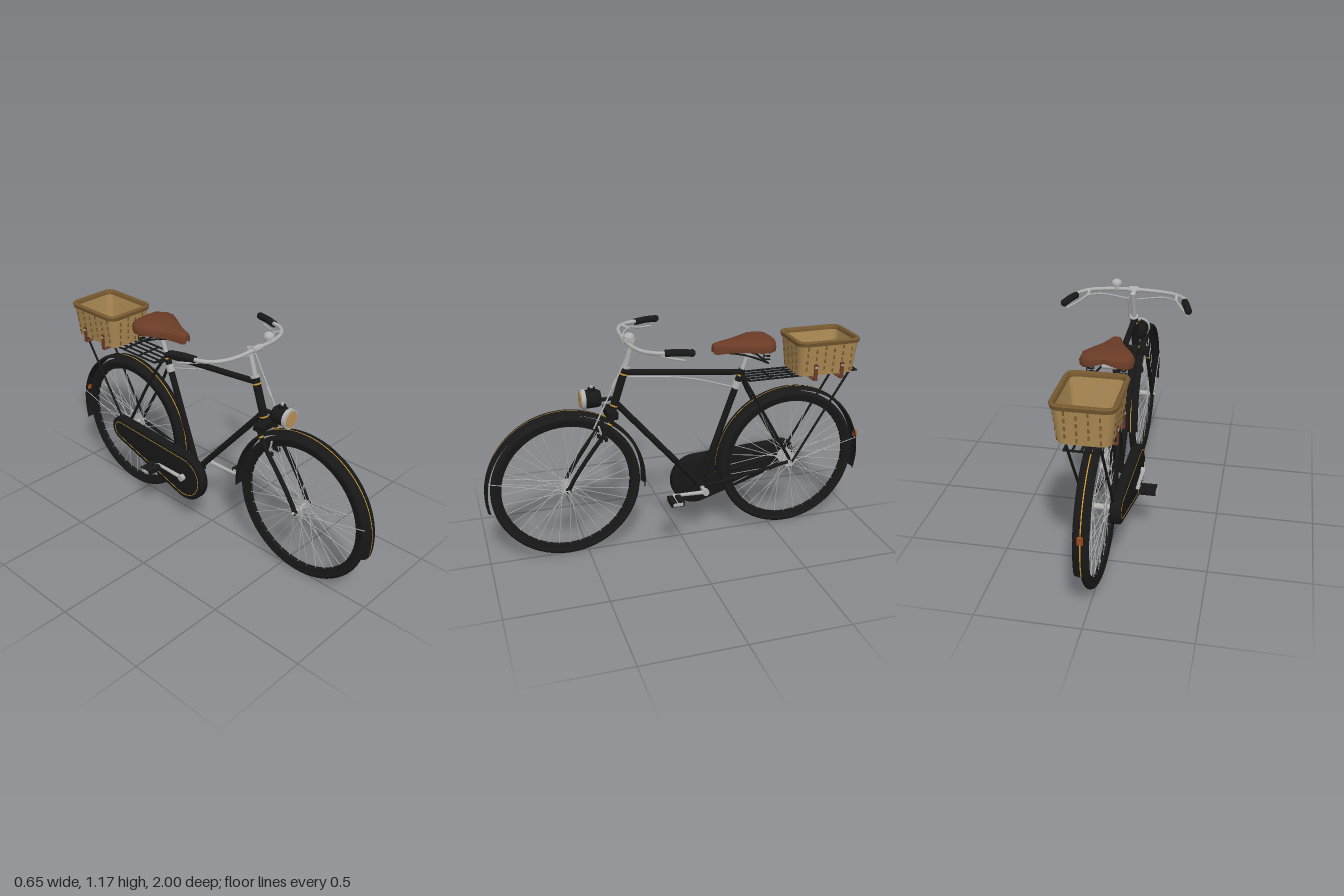
import * as THREE from 'three';
import { mergeGeometries, toCreasedNormals } from 'three/addons/utils/BufferGeometryUtils.js';

const mat = (name, color, side = THREE.FrontSide) => new THREE.MeshStandardMaterial({ name, color, side });
const V = (x, y, z) => new THREE.Vector3(x, y, z);
const AXLE = 0.38, WHEEL_Z = 0.595;

// Cylinder between two points
function rodGeo(a, b, r, r2 = r, seg = 10) {
  const d = b.clone().sub(a);
  const g = new THREE.CylinderGeometry(r2, r, d.length(), seg);
  g.applyQuaternion(new THREE.Quaternion().setFromUnitVectors(V(0, 1, 0), d.normalize()));
  const m = a.clone().add(b).multiplyScalar(0.5);
  return g.translate(m.x, m.y, m.z);
}
const tubeGeo = (pts, r, n = 24, seg = 8) => new THREE.TubeGeometry(new THREE.CatmullRomCurve3(pts), n, r, seg);
const boxGeo = (w, h, d, x, y, z) => new THREE.BoxGeometry(w, h, d).translate(x, y, z);

// Skin over rings of points, with fans closing both ends if capped
function loft(rings, crease, capped = true) {
  const n = rings[0].length, last = rings.length - 1, pos = [], idx = [];
  rings.forEach((r) => r.forEach((p) => pos.push(p.x, p.y, p.z)));
  for (let i = 0; i < last; i++) for (let j = 0; j < n; j++) {
    const a = i * n + j, b = i * n + (j + 1) % n;
    idx.push(a, b, b + n, a, b + n, a + n);
  }
  if (capped) [0, last].forEach((i) => {
    const c = rings[i].reduce((s, p) => s.add(p), V(0, 0, 0)).divideScalar(n), k = pos.length / 3;
    pos.push(c.x, c.y, c.z);
    for (let j = 0; j < n; j++) {
      const a = i * n + j, b = i * n + (j + 1) % n;
      if (i) idx.push(k, a, b); else idx.push(k, b, a);
    }
  });
  const g = new THREE.BufferGeometry();
  g.setAttribute('position', new THREE.Float32BufferAttribute(pos, 3));
  g.setIndex(idx);
  return toCreasedNormals(g, crease);
}

export function createModel() {
  const paint = mat('black paint', 0x171717, THREE.DoubleSide), rubber = mat('rubber', 0x191919, THREE.DoubleSide);
  const steel = mat('steel', 0xb0b0b0, THREE.DoubleSide), gold = mat('gold line', 0xc8952c, THREE.DoubleSide);
  const leather = mat('leather', 0x6b3c26, THREE.DoubleSide), wicker = mat('wicker', 0xac8a54, THREE.DoubleSide);
  const darkWicker = mat('dark wicker', 0x755830), lens = mat('lamp lens', 0xb89058), red = mat('reflector', 0x9a4a1c);

  const model = new THREE.Group();
  let parent = model;
  const add = (name, geo, m) => {
    const mesh = new THREE.Mesh(geo, m);
    mesh.name = name;
    parent.add(mesh);
  };
  const group = (name, z = 0, y = 0) => {
    parent = new THREE.Group();
    parent.name = name;
    parent.position.set(0, y, z);
    model.add(parent);
  };
  const rod = (name, a, b, r, m, r2) => add(name, rodGeo(a, b, r, r2), m);
  const both = (fn) => [-1, 1].forEach(fn);

  // Wheels and mudguards, all turned about the x axis
  const turned = (pts, from = 0, len = 360, n = 64) => new THREE.LatheGeometry(pts.map(([r, h]) => new THREE.Vector2(r, h)), n,
    from * Math.PI / 180, len * Math.PI / 180).rotateZ(Math.PI / 2);
  const wheel = (name, z, hubR, from, to, stayA) => {
    group(name, z, AXLE);
    add('tyre', new THREE.TorusGeometry(0.359, 0.018, 10, 72).rotateY(Math.PI / 2), rubber);
    add('rim', toCreasedNormals(turned([[0.35, -0.016], [0.35, 0.016], [0.324, 0.011], [0.324, -0.011], [0.35, -0.016]]), 0.5), paint);
    const spokes = [];
    for (let i = 0; i < 36; i++) {
      const a = i / 36 * Math.PI * 2, s = i % 2 ? 1 : -1, b = a + (i % 4 < 2 ? 0.6 : -0.6);
      spokes.push(rodGeo(V(s * 0.032, hubR * 0.85 * Math.sin(b), hubR * 0.85 * Math.cos(b)),
        V(0, 0.326 * Math.sin(a), 0.326 * Math.cos(a)), 0.0019, 0.0019, 5));
    }
    add('spokes', mergeGeometries(spokes), steel);
    rod('hub', V(-0.045, 0, 0), V(0.045, 0, 0), 0.015, steel);
    rod('axle', V(-0.072, 0, 0), V(0.072, 0, 0), 0.007, steel);
    both((s) => rod('hubFlange', V(s * 0.028, 0, 0), V(s * 0.035, 0, 0), hubR, steel));
    add('mudguard', turned([[0.391, -0.037], [0.399, -0.031], [0.404, -0.016], [0.405, 0], [0.404, 0.016], [0.399, 0.031], [0.391, 0.037]], from, to - from), paint);
    add('mudguardLine', turned([[0.4062, -0.0026], [0.4062, 0.0026]], from, to - from), gold);
    const t = stayA * Math.PI / 180;
    both((s) => rod('mudguardStay', V(s * 0.062, 0, 0), V(s * 0.037, 0.394 * Math.sin(t), 0.394 * Math.cos(t)), 0.002, steel));
  };
  wheel('frontWheel', WHEEL_Z, 0.028, -12, 186, 12);
  wheel('rearWheel', -WHEEL_Z, 0.042, -5, 195, 168);
  add('rearReflector', boxGeo(0.025, 0.035, 0.012, 0, 0.09, -0.398), red);

  // Frame
  group('frame');
  const bb = V(0, 0.29, -0.105), seatTop = V(0, 0.905, -0.325), headTop = V(0, 0.975, 0.28), headLow = V(0, 0.76, 0.35);
  const collar = (name, a, b, t, r, m = gold, w = 0.004) => {
    const d = b.clone().sub(a).normalize().multiplyScalar(w), p = a.clone().lerp(b, t);
    rod(name, p.clone().sub(d), p.clone().add(d), r, m);
  };
  rod('headTube', headLow, headTop, 0.02, paint);
  rod('topTube', V(0, 0.95, 0.285), V(0, 0.89, -0.32), 0.015, paint);
  rod('downTube', V(0, 0.80, 0.335), bb, 0.016, paint);
  rod('seatTube', bb, seatTop, 0.017, paint);
  rod('bottomBracket', V(-0.04, 0.29, -0.105), V(0.04, 0.29, -0.105), 0.024, paint);
  [0.12, 0.85].forEach((t) => collar('headBand', headLow, headTop, t, 0.0212));
  collar('seatTubeBand', bb, seatTop, 0.95, 0.0182);
  collar('headCup', headLow, headTop, 1, 0.023, steel);
  collar('seatTubeClip', bb, seatTop, 0.87, 0.022, steel, 0.02);
  both((s) => {
    add('seatStay', tubeGeo([V(s * 0.018, 0.88, -0.318), V(s * 0.05, 0.77, -0.375), V(s * 0.055, AXLE, -WHEEL_Z)], 0.008), paint);
    add('chainStay', tubeGeo([V(s * 0.025, 0.29, -0.11), V(s * 0.045, 0.315, -0.24), V(s * 0.052, AXLE, -WHEEL_Z)], 0.009), paint);
    rod('rearDropout', V(s * 0.05, AXLE, -WHEEL_Z), V(s * 0.062, AXLE, -WHEEL_Z), 0.018, steel);
  });
  add('rearBrakeRod', tubeGeo([V(0.015, 0.93, 0.27), V(0.018, 0.895, -0.02), V(0.02, 0.82, -0.28)], 0.004), steel);

  // Fork and front brake
  group('fork');
  add('forkCrown', boxGeo(0.135, 0.034, 0.05, 0, 0.752, 0.36), paint);
  both((s) => {
    const leg = [[0.058, 0.75, 0.357], [0.058, 0.675, 0.397], [0.056, 0.56, 0.482], [0.053, 0.45, 0.557], [0.05, AXLE, WHEEL_Z]].map(([x, y, z]) => V(s * x, y, z));
    add('forkLeg', tubeGeo(leg, 0.011), paint);
    collar('forkBand', leg[0], leg[1], 0.5, 0.0125);
    rod('frontDropout', V(s * 0.045, AXLE, WHEEL_Z), V(s * 0.06, AXLE, WHEEL_Z), 0.014, paint);
    rod('brakeStirrup', V(s * 0.042, 0.70, 0.43), V(s * 0.03, 0.61, 0.405), 0.005, steel);
    add('brakeShoe', boxGeo(0.012, 0.02, 0.04, s * 0.026, 0.62, 0.405), rubber);
  });
  rod('frontBrakeRod', V(0.025, 1.09, 0.25), V(0.042, 0.69, 0.455), 0.004, steel);
  rod('brakeRodNut', V(0.029, 0.93, 0.332), V(0.032, 0.89, 0.352), 0.007, steel);

  // Handlebar, levers and bell
  group('handlebar');
  rod('stem', headTop, V(0, 1.115, 0.237), 0.013, steel);
  rod('stemExtension', V(0, 1.1, 0.238), V(0, 1.12, 0.285), 0.014, steel);
  rod('barClamp', V(-0.026, 1.12, 0.285), V(0.026, 1.12, 0.285), 0.017, steel);
  const bar = [[0.28, 0.15], [0.262, 0.205], [0.215, 0.252], [0.13, 0.28]];
  add('bar', tubeGeo([...bar.map(([x, z]) => V(-x, 1.118, z)), V(0, 1.12, 0.285), ...bar.reverse().map(([x, z]) => V(x, 1.118, z))], 0.01, 64), steel);
  both((s) => {
    add('grip', tubeGeo([V(s * 0.274, 1.117, 0.16), V(s * 0.29, 1.12, 0.1), V(s * 0.306, 1.117, 0.042)], 0.0175, 10, 10), rubber);
    add('gripEnd', new THREE.SphereGeometry(0.018, 12, 8).translate(s * 0.306, 1.117, 0.042), rubber);
    add('brakeLever', tubeGeo([V(s * 0.30, 1.082, 0.07), V(s * 0.262, 1.09, 0.14), V(s * 0.225, 1.107, 0.2)], 0.005), steel);
    add('leverRod', tubeGeo([V(s * 0.225, 1.107, 0.2), V(s * 0.16, 1.102, 0.245), V(s * 0.02, 1.08, 0.255)], 0.004), steel);
    rod('leverBracket', V(s * 0.222, 1.12, 0.245), V(s * 0.225, 1.1, 0.2), 0.008, steel);
  });
  rod('bellPost', V(0.09, 1.12, 0.28), V(0.09, 1.15, 0.28), 0.01, steel);
  add('bell', new THREE.SphereGeometry(0.027, 16, 8, 0, Math.PI * 2, 0, Math.PI / 2).scale(1, 0.85, 1).translate(0.09, 1.15, 0.28), steel);
  rod('bellBase', V(0.09, 1.146, 0.28), V(0.09, 1.152, 0.28), 0.026, steel);

  // Headlamp
  group('headlamp', 0, 0.832);
  const bowl = [[0.001, 0.405], [0.036, 0.409], [0.044, 0.422], [0.046, 0.486]].map(([r, z]) => new THREE.Vector2(r, z));
  add('lampBody', new THREE.LatheGeometry(bowl, 24).rotateX(Math.PI / 2), paint);
  add('lampRing', rodGeo(V(0, 0, 0.485), V(0, 0, 0.506), 0.05, 0.05, 28), steel);
  add('lampLens', rodGeo(V(0, 0, 0.504), V(0, 0, 0.51), 0.04, 0.04, 28), lens);
  rod('lampCap', V(0, 0.04, 0.45), V(0, 0.056, 0.45), 0.018, paint);
  rod('lampKnob', V(0, 0.056, 0.45), V(0, 0.066, 0.45), 0.008, steel);
  rod('lampBracket', V(0, -0.01, 0.33), V(0, -0.01, 0.42), 0.01, paint);

  // Chain case with lining, cranks and pedals
  group('drivetrain');
  const caseShape = (inset, S = THREE.Shape) => {
    const r1 = 0.135 - inset, r2 = 0.072 - inset, dz = -0.49, dy = AXLE - 0.29;
    const f = Math.atan2(dy, dz), b = Math.acos((r1 - r2) / Math.hypot(dz, dy)), s = new S();
    s.absarc(-0.105, 0.29, r1, f + b, f - b + Math.PI * 2, false);
    s.absarc(-WHEEL_Z, AXLE, r2, f - b, f + b, false);
    s.closePath();
    return s;
  };
  const plate = (shape, depth, bevel, x) => new THREE.ExtrudeGeometry(shape, { depth, curveSegments: 24, bevelEnabled: bevel > 0,
    bevelSize: bevel, bevelThickness: bevel, bevelSegments: 3 }).rotateY(-Math.PI / 2).translate(x, 0, 0);
  add('chainCase', toCreasedNormals(plate(caseShape(0.012), 0.028, 0.012, -0.068), 0.6), paint);
  const line = caseShape(0.026);
  line.holes.push(caseShape(0.029, THREE.Path));
  add('chainCaseLine', plate(line, 0.003, 0, -0.1065), gold);
  rod('crankAxle', V(-0.125, 0.29, -0.105), V(0.105, 0.29, -0.105), 0.011, steel);
  both((s) => {
    const x = s > 0 ? 0.097 : -0.12, z = -0.105 + s * 0.178, p = s > 0 ? 0.157 : -0.175;
    rod('crank', V(x, 0.29, -0.105), V(x, 0.295, z), 0.011, steel, 0.008);
    rod('crankBoss', V(x - 0.011, 0.29, -0.105), V(x + 0.011, 0.29, -0.105), 0.018, steel);
    rod('pedalAxle', V(x, 0.295, z), V(p + s * 0.047, 0.295, z), 0.006, steel);
    both((k) => {
      add('pedalBlock', boxGeo(0.082, 0.026, 0.028, p, 0.295, z + k * 0.02), rubber);
      add('pedalPlate', boxGeo(0.004, 0.016, 0.05, p + k * 0.042, 0.295, z), steel);
    });
  });

  // Saddle: rear-to-nose sections of z, half width, top, bottom, hollow underneath
  group('saddle');
  const sections = [[-0.474, 0.07, 1.064, 1.026], [-0.462, 0.102, 1.071, 1.018], [-0.43, 0.122, 1.075, 1.016], [-0.385, 0.123, 1.075, 1.016], [-0.33, 0.096, 1.069, 1.016],
    [-0.27, 0.06, 1.063, 1.012], [-0.215, 0.036, 1.059, 1.004], [-0.18, 0.027, 1.054, 1.0], [-0.166, 0.018, 1.045, 1.004]];
  const half = [[1, 0.4], [0.92, 0.74], [0.62, 0.95], [0, 1], [-0.62, 0.95], [-0.92, 0.74], [-1, 0.4], [-0.98, 0], [-0.88, 0], [-0.7, 0.45], [0, 0.6], [0.7, 0.45], [0.88, 0], [0.98, 0]];
  add('saddleTop', loft(sections.map(([z, w, t, b]) => half.map(([u, v]) => V(w * u, b + (t - b) * v, z))), 0.8), leather);
  rod('seatPost', V(0, 0.89, -0.32), V(0, 0.985, -0.355), 0.012, steel);
  rod('saddleClamp', V(-0.035, 0.98, -0.353), V(0.035, 0.98, -0.353), 0.014, steel);
  rod('springBar', V(-0.095, 0.956, -0.425), V(0.095, 0.956, -0.425), 0.005, paint);
  both((s) => {
    add('saddleRail', tubeGeo([V(s * 0.015, 1.01, -0.2), V(s * 0.028, 0.985, -0.33), V(s * 0.07, 0.956, -0.425)], 0.005), paint);
    add('saddleSpring', tubeGeo(Array.from({ length: 41 }, (_, i) => V(s * 0.073 + 0.017 * Math.cos(i * Math.PI / 5),
      0.956 + i * 0.0017, -0.425 + 0.017 * Math.sin(i * Math.PI / 5))), 0.003, 100, 6), paint);
  });

  // Luggage rack
  group('rack');
  const deck = 0.864;
  [-0.072, -0.036, 0, 0.036, 0.072].forEach((x) => rod('rackRail', V(x, deck, -0.34), V(x, deck, -0.93), 0.005, paint));
  for (let i = 0; i < 6; i++) rod('rackSlat', V(-0.075, deck, -0.34 - i * 0.118), V(0.075, deck, -0.34 - i * 0.118), 0.005, paint);
  both((s) => {
    rod('rackStay', V(s * 0.072, deck, -0.89), V(s * 0.068, AXLE, -WHEEL_Z), 0.006, paint);
    rod('rackArm', V(s * 0.072, deck, -0.34), V(s * 0.02, deck, -0.31), 0.005, paint);
  });

  // Wicker basket with woven stakes and straps
  group('basket', -0.745);
  const wallX = (y) => 0.116 + (y - 0.872) * 0.11, wallZ = (y) => 0.151 + (y - 0.872) * 0.08;
  const ring = (y, out) => Array.from({ length: 24 }, (_, i) => {
    const k = Math.floor(i / 6), a = (k + (i % 6) / 5) * Math.PI / 2, m = (k + 0.5) * Math.PI / 2, r = 0.04 + out;
    return V(Math.sign(Math.sin(m)) * (wallX(y) - 0.04) + r * Math.sin(a), y, Math.sign(Math.cos(m)) * (wallZ(y) - 0.04) + r * Math.cos(a));
  });
  add('basketBody', loft([ring(0.872, 0), ring(1.045, 0), ring(1.045, -0.01), ring(0.88, -0.01)], 0.6), wicker);
  add('basketRim', loft([[1.03, -0.002], [1.032, 0.006], [1.05, 0.008], [1.056, 0.002], [1.056, -0.01], [1.048, -0.015], [1.034, -0.014], [1.03, -0.002]]
    .map(([y, o]) => ring(y, o)), 0.7, false), darkWicker);
  const stakes = [];
  both((s) => {
    for (let row = 0; row < 4; row++) for (let i = 0; i < 6; i++) {
      const y = 0.893 + row * 0.036 + (i % 2) * 0.018;
      stakes.push(boxGeo(0.005, 0.02, 0.008, s * wallX(y), y, (i - 2.5) * 0.048));
      if (i < 4) stakes.push(boxGeo(0.008, 0.02, 0.005, (i - 1.5) * 0.05, y, s * wallZ(y)));
    }
    [-0.072, 0.072].forEach((z) => {
      add('strap', boxGeo(0.006, 0.085, 0.02, s * 0.128, 0.891, z), leather);
      add('strapBuckle', boxGeo(0.005, 0.008, 0.014, s * 0.131, 0.918, z), steel);
    });
  });
  add('basketStakes', mergeGeometries(stakes), darkWicker);
  [-0.072, 0.072].forEach((z) => add('strapUnder', boxGeo(0.26, 0.006, 0.02, 0, 0.851, z), leather));
  return model;
}
